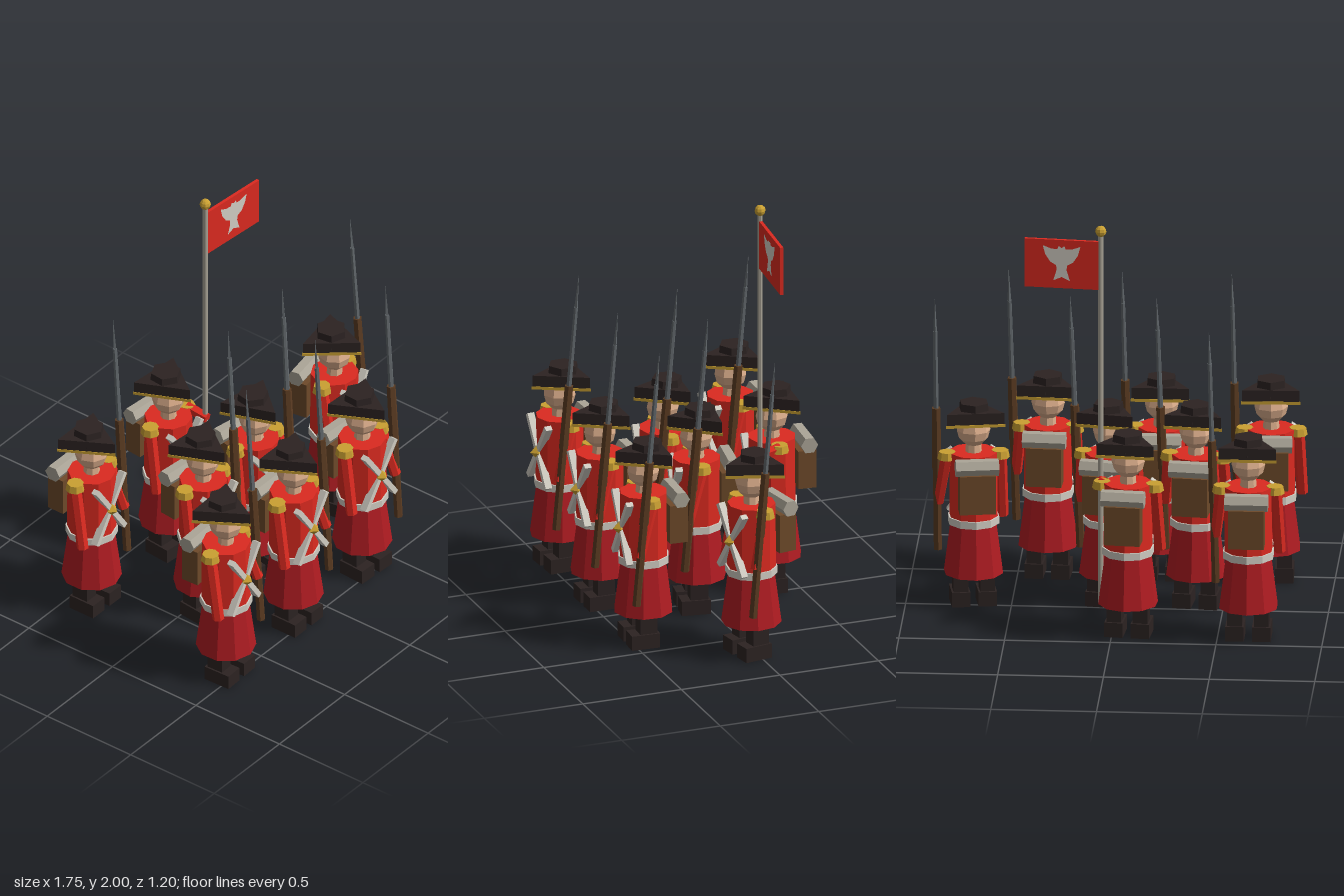
import * as THREE from 'three';

const mat = (name, color) => {
  const m = new THREE.MeshStandardMaterial({ color });
  m.name = name;
  return m;
};
const M = {
  red: mat('coatRed', 0xdc2a20),
  darkRed: mat('skirtRed', 0xb01c22),
  gold: mat('gold', 0xcaa032),
  black: mat('black', 0x2c2322),
  skin: mat('skin', 0xdcae8c),
  white: mat('strapWhite', 0xd2cec4),
  stone: mat('stoneGrey', 0xaca698),
  wood: mat('wood', 0x5c3c22),
  leather: mat('leather', 0x6e4a2a),
  steel: mat('steel', 0x62686c),
};

// Adds a faceted mesh to a group
function add(group, name, geometry, material, x = 0, y = 0, z = 0) {
  const g = geometry.index ? geometry.toNonIndexed() : geometry;
  g.computeVertexNormals();
  const mesh = new THREE.Mesh(g, material);
  mesh.name = name;
  mesh.position.set(x, y, z);
  group.add(mesh);
  return mesh;
}
const box = (w, h, d) => new THREE.BoxGeometry(w, h, d);
const cyl = (rTop, rBottom, h, n) => new THREE.CylinderGeometry(rTop, rBottom, h, n);

// Tapered rod between two points
function rod(group, name, a, b, rA, rB, n, material) {
  const p = new THREE.Vector3(...a), q = new THREE.Vector3(...b);
  const mesh = add(group, name, cyl(rB, rA, p.distanceTo(q), n), material);
  mesh.position.copy(p).add(q).multiplyScalar(0.5);
  mesh.quaternion.setFromUnitVectors(new THREE.Vector3(0, 1, 0), q.sub(p).normalize());
  return mesh;
}

function addMusket(g) {
  const musket = new THREE.Group();
  musket.name = 'musket';
  // point on the leaning musket line at a given height
  const at = (y) => {
    const t = (y - 0.25) / 1.28;
    return [0.16 + 0.026 * t, y, 0.088 - 0.105 * t];
  };
  rod(musket, 'stockButt', at(0.25), at(0.72), 0.021, 0.02, 6, M.wood);
  rod(musket, 'foreStock', at(0.66), at(0.975), 0.024, 0.022, 6, M.wood);
  rod(musket, 'barrel', at(0.9), at(1.37), 0.014, 0.011, 6, M.steel);
  rod(musket, 'bayonet', at(1.35), at(1.53), 0.01, 0.001, 4, M.steel);
  g.add(musket);
}

function addStandard(g) {
  const flag = new THREE.Group();
  flag.name = 'standard';
  flag.position.set(0.146, 0, 0.101);
  add(flag, 'pole', cyl(0.013, 0.013, 1.84, 8), M.stone, 0, 1.04, 0);
  add(flag, 'finial', new THREE.SphereGeometry(0.027, 8, 6), M.gold, 0, 1.973, 0);
  add(flag, 'cloth', box(0.355, 0.24, 0.016), M.red, 0.186, 1.802, 0);
  // Spread-winged bird, mirrored from its right half
  const half = [[0, 0.075], [0.014, 0.085], [0.02, 0.068], [0.05, 0.07], [0.09, 0.085],
    [0.078, 0.04], [0.055, 0.005], [0.026, -0.012], [0.024, -0.035], [0.04, -0.088], [0, -0.07]];
  const other = half.slice(1, -1).reverse().map(([x, y]) => [-x, y]);
  const bird = new THREE.Shape([...half, ...other].map(([x, y]) => new THREE.Vector2(x, y)));
  for (const s of [1, -1]) {
    const plate = add(flag, 'birdEmblem', new THREE.ShapeGeometry(bird), M.white, 0.186, 1.808, s * 0.0095);
    if (s < 0) plate.rotation.y = Math.PI;
  }
  g.add(flag);
}

function makeSoldier(bearer) {
  const g = new THREE.Group();
  g.name = bearer ? 'standardBearer' : 'soldier';

  // Legs, boots, epaulettes and crossed straps
  for (const s of [-1, 1]) {
    add(g, 'leg', box(0.07, 0.17, 0.085), M.black, s * 0.063, 0.135, 0.005);
    add(g, 'boot', box(0.088, 0.072, 0.14), M.black, s * 0.063, 0.036, 0.022);
    add(g, 'epaulette', cyl(0.04, 0.047, 0.036, 8), M.gold, s * 0.125, 0.747, 0);
    const strap = add(g, 'crossStrap', box(0.026, 0.375, 0.034), M.white, 0, 0.59, 0.105 + s * 0.001);
    strap.rotation.z = s * 0.6;
  }
  add(g, 'buckle', new THREE.OctahedronGeometry(0.032), M.gold, 0, 0.59, 0.12);

  // Coat
  add(g, 'coatSkirt', cyl(0.11, 0.143, 0.255, 10), M.darkRed, 0, 0.29, 0);
  add(g, 'belt', cyl(0.124, 0.124, 0.036, 10), M.white, 0, 0.428, 0);
  add(g, 'torso', cyl(0.114, 0.117, 0.34, 10), M.red, 0, 0.593, 0);

  // Arms
  rod(g, 'rightArm', [-0.128, 0.75, 0], [-0.145, 0.42, 0.06], 0.03, 0.028, 6, M.red);
  const hand = bearer ? [0.146, 0.725, 0.115] : [0.158, 0.49, 0.072];
  rod(g, 'leftArm', [0.128, 0.745, 0], hand, 0.03, 0.026, 6, M.red);

  // Head and three-cornered hat
  add(g, 'neck', cyl(0.035, 0.04, 0.06, 8), M.skin, 0, 0.785, 0);
  add(g, 'head', new THREE.SphereGeometry(0.08, 8, 6), M.skin, 0, 0.87, 0);
  add(g, 'hatTrim', cyl(0.162, 0.162, 0.014, 3), M.gold, 0, 0.918, -0.018);
  add(g, 'hatBrim', cyl(0.157, 0.157, 0.055, 3), M.black, 0, 0.952, -0.018);
  add(g, 'hatCrown', cyl(0.072, 0.08, 0.08, 6), M.black, 0, 0.975, -0.018);

  // Backpack with rolled blanket
  add(g, 'backpack', box(0.17, 0.19, 0.09), M.leather, 0, 0.605, -0.15);
  const roll = add(g, 'blanketRoll', cyl(0.042, 0.042, 0.205, 6), M.stone, 0, 0.732, -0.156);
  roll.rotation.z = Math.PI / 2;

  if (bearer) addStandard(g);
  else addMusket(g);
  return g;
}

export function createModel() {
  const model = new THREE.Group();
  model.name = 'soldierSquad';
  // x, z, turn, carries the standard
  const squad = [
    [-0.647, -0.4, 0], [-0.077, -0.385, -0.09, true],
    [-0.37, 0.052, -0.1], [0.04, 0.045, -0.17], [0.68, 0.018, 0.17],
    [-0.7, 0.446, 0.04], [-0.182, 0.446, 0], [0.355, 0.438, -0.05],
  ];
  for (const [x, z, turn, bearer] of squad) {
    const s = makeSoldier(bearer);
    s.position.set(x, 0, z);
    s.rotation.y = turn;
    model.add(s);
  }
  return model;
}
